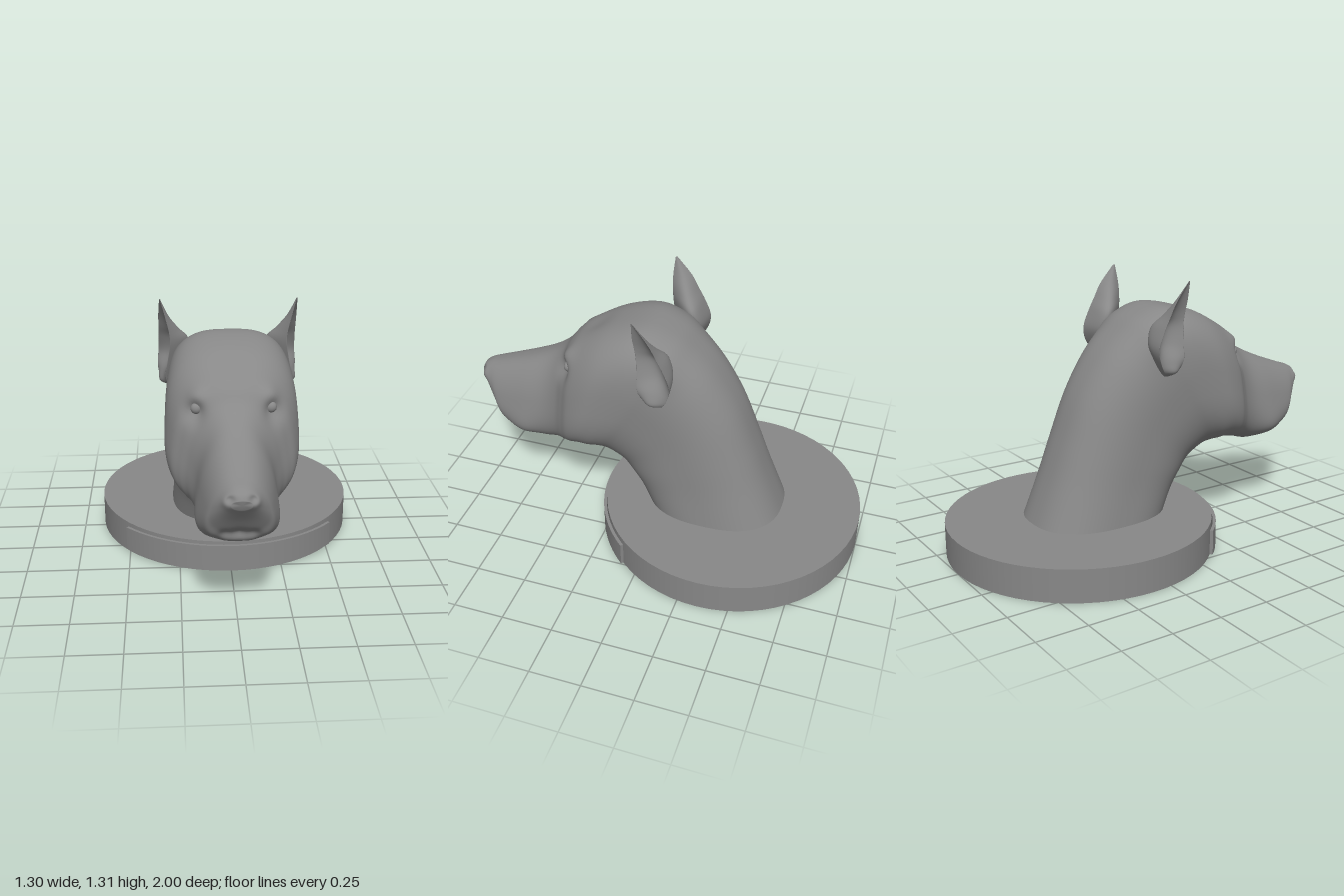
import * as THREE from 'three';
import { toCreasedNormals } from 'three/addons/utils/BufferGeometryUtils.js';

const stone = new THREE.MeshStandardMaterial({ color: 0x888888 });
const stoneDouble = new THREE.MeshStandardMaterial({ color: 0x888888, side: THREE.DoubleSide });

// Smooth closed skin through equal-length rings of Vector3, capped at both ends
function loft(rings) {
  const n = rings[0].length, last = rings.length - 1, pos = [], idx = [];
  rings.forEach(r => r.forEach(p => pos.push(p.x, p.y, p.z)));
  const middle = r => r.reduce((s, p) => s.add(p), new THREE.Vector3()).divideScalar(n);
  const a = middle(rings[0]), b = middle(rings[last]);
  pos.push(a.x, a.y, a.z, b.x, b.y, b.z);
  const ca = n * rings.length, cb = ca + 1;
  for (let j = 0; j < n; j++) {
    const k = (j + 1) % n;
    for (let i = 0; i < last; i++) {
      const p = i * n, q = p + n;
      idx.push(p + j, p + k, q + j, p + k, q + k, q + j);
    }
    idx.push(ca, k, j, cb, last * n + j, last * n + k);
  }
  const g = new THREE.BufferGeometry();
  g.setAttribute('position', new THREE.Float32BufferAttribute(pos, 3));
  g.setIndex(idx);
  g.computeVertexNormals();
  return g;
}

// Catmull-Rom interpolation between table rows
function refine(rows, steps) {
  const out = [], at = i => rows[Math.max(0, Math.min(rows.length - 1, i))];
  for (let i = 0; i < rows.length - 1; i++) {
    for (let s = 0; s < steps; s++) {
      const t = s / steps;
      out.push(rows[i].map((p1, c) => {
        const p0 = at(i - 1)[c], p2 = at(i + 1)[c], p3 = at(i + 2)[c];
        return p1 + 0.5 * t * (p2 - p0 + t * (2 * p0 - 5 * p1 + 4 * p2 - p3 + t * (3 * (p1 - p2) + p3 - p0)));
      }));
    }
  }
  out.push(rows[rows.length - 1]);
  return out;
}

// Neck to nose: top z, y, bottom z, y, half width, narrowing to the top, squareness
const headRows = [
  [-0.625, 0.12, 0.06, 0.12, 0.282, 0, 2.5],
  [-0.53, 0.355, 0.125, 0.25, 0.266, 0, 2.5],
  [-0.46, 0.54, 0.18, 0.325, 0.262, 0, 2.5],
  [-0.37, 0.76, 0.22, 0.37, 0.262, 0, 2.5],
  [-0.26, 0.935, 0.26, 0.40, 0.27, 0, 2.6],
  [-0.15, 1.05, 0.30, 0.425, 0.283, 0, 2.7],
  [-0.055, 1.12, 0.335, 0.44, 0.297, 0.02, 2.9],
  [0.08, 1.16, 0.37, 0.447, 0.306, 0.04, 3.1],
  [0.25, 1.125, 0.41, 0.45, 0.308, 0.07, 2.9],
  [0.40, 1.05, 0.45, 0.44, 0.28, 0.14, 2.8],
  [0.465, 1.0, 0.49, 0.43, 0.24, 0.2, 2.8],
  [0.52, 0.935, 0.54, 0.415, 0.205, 0.23, 2.6],
  [0.60, 0.88, 0.625, 0.39, 0.178, 0.24, 2.5],
  [0.73, 0.82, 0.74, 0.40, 0.168, 0.22, 2.5],
  [0.89, 0.76, 0.84, 0.44, 0.145, 0.25, 2.5],
  [0.95, 0.74, 0.875, 0.50, 0.118, 0.25, 2.4],
  [0.985, 0.72, 0.925, 0.575, 0.08, 0.1, 2.3],
  [1.0, 0.695, 0.985, 0.65, 0.04, 0, 2],
];

// Sculpted dents and swellings, mirrored: centre, radius, shift
const bumps = [
  [0.19, 0.895, 0.49, 0.05, -0.018, 0, -0.028],  // eye socket
  [0.17, 0.965, 0.46, 0.05, 0.004, 0.004, 0.022], // brow
  [0.17, 0.47, 0.74, 0.08, 0.014, -0.012, 0],    // upper lip
  [0, 0.47, 0.87, 0.035, 0, 0.004, -0.014],      // mouth hollow
  [0.06, 0.475, 0.86, 0.03, 0, 0.006, -0.016],   // mouth line
  [0.11, 0.445, 0.82, 0.03, 0, 0.008, -0.012],   // mouth corner
  [0, 1.08, 0.36, 0.07, 0, -0.004, -0.002],      // forehead furrow
  [0.055, 0.68, 0.975, 0.03, 0.006, 0, 0.004],   // nose wing
  [0.045, 0.695, 0.985, 0.018, 0, 0, -0.016],    // nostril
  [0.27, 1.03, -0.05, 0.09, 0.02, 0.008, 0],     // ear root
];

function headGeometry() {
  const N = 96;
  const rings = refine(headRows, 7).map(([zt, yt, zb, yb, w, k, n]) => {
    const ring = [];
    for (let j = 0; j < N; j++) {
      const a = j / N * Math.PI * 2;
      const sup = c => Math.sign(c) * Math.abs(c) ** (2 / n);
      const u = sup(Math.cos(a)), v = sup(Math.sin(a));
      const p = new THREE.Vector3(w * u * (1 - k * v), (yt + yb) / 2 + (yt - yb) / 2 * v, (zt + zb) / 2 + (zt - zb) / 2 * v);
      const q = p.clone();
      for (const [x, y, z, r, dx, dy, dz] of bumps) for (const s of [1, -1]) {
        const d2 = (p.x - s * x) ** 2 + (p.y - y) ** 2 + (p.z - z) ** 2;
        q.addScaledVector(new THREE.Vector3(s * dx, dy, dz), Math.exp(-d2 / (r * r)));
      }
      ring.push(q);
    }
    return ring;
  });
  return loft(rings);
}

// Ear, bottom to tip: y, front edge x, z, back edge x, z, depth to the head, depth of the scoop
const earRows = [
  [0.865, 0.28, -0.015, 0.285, -0.04, 0.02, -0.005],
  [0.89, 0.295, 0.03, 0.325, -0.07, 0.06, -0.02],
  [0.94, 0.302, 0.055, 0.34, -0.1, 0.09, 0.005],
  [1.01, 0.29, 0.06, 0.336, -0.11, 0.115, 0.04],
  [1.09, 0.278, 0.066, 0.333, -0.08, 0.115, 0.045],
  [1.15, 0.282, 0.071, 0.332, -0.048, 0.07, 0.03],
  [1.22, 0.298, 0.075, 0.331, -0.01, 0.03, 0.015],
  [1.308, 0.321, 0.07, 0.325, 0.062, 0.003, 0.001],
];

function earGeometry(side) {
  const M = 20;
  const rings = refine(earRows, 6).map(([y, fx, fz, bx, bz, deep, scoop]) => {
    const ring = [];
    // the hollow leans backwards, rounding the back of the ear
    const add = (t, d) => {
      const bulge = d * Math.sin(Math.PI * t);
      ring.push(new THREE.Vector3(side * (bx + (fx - bx) * t - bulge), y, bz + (fz - bz) * t - 0.4 * bulge));
    };
    for (let j = 0; j <= M; j++) add((1 - Math.cos(Math.PI * j / M)) / 2, deep);
    for (let j = M - 1; j > 0; j--) add((1 - Math.cos(Math.PI * j / M)) / 2, scoop);
    return side > 0 ? ring : ring.reverse();
  });
  return loft(rings);
}

export function createModel() {
  const model = new THREE.Group();
  model.name = 'dogHeadBust';
  const add = (name, geometry, material, x = 0, y = 0, z = 0) => {
    const mesh = new THREE.Mesh(geometry, material);
    mesh.name = name;
    mesh.position.set(x, y, z);
    model.add(mesh);
    return mesh;
  };

  // Round plinth with a slightly flatter curved plate on its front
  add('base', new THREE.CylinderGeometry(0.65, 0.65, 0.16, 64), stone, 0, 0.08, -0.35);
  const arc = new THREE.Shape();
  const from = -139 * Math.PI / 180, to = -41 * Math.PI / 180;
  arc.absarc(0, 0, 0.683, from, to, false);
  arc.absarc(0, 0, 0.668, to, from, true);
  const plate = new THREE.ExtrudeGeometry(arc, { depth: 0.122, bevelEnabled: false, curveSegments: 32 });
  plate.rotateX(-Math.PI / 2);
  add('frontPlate', toCreasedNormals(plate, 0.5), stone, 0, 0.021, -0.367);

  // Head and neck in one skin
  add('headAndNeck', headGeometry(), stone);

  // Paired ears and eyes
  for (const [label, s] of [['left', 1], ['right', -1]]) {
    add(label + 'Ear', earGeometry(s), stoneDouble);
    const eye = add(label + 'Eye', new THREE.SphereGeometry(0.026, 24, 16), stone, s * 0.167, 0.904, 0.453);
    eye.scale.z = 0.8;
  }
  return model;
}
